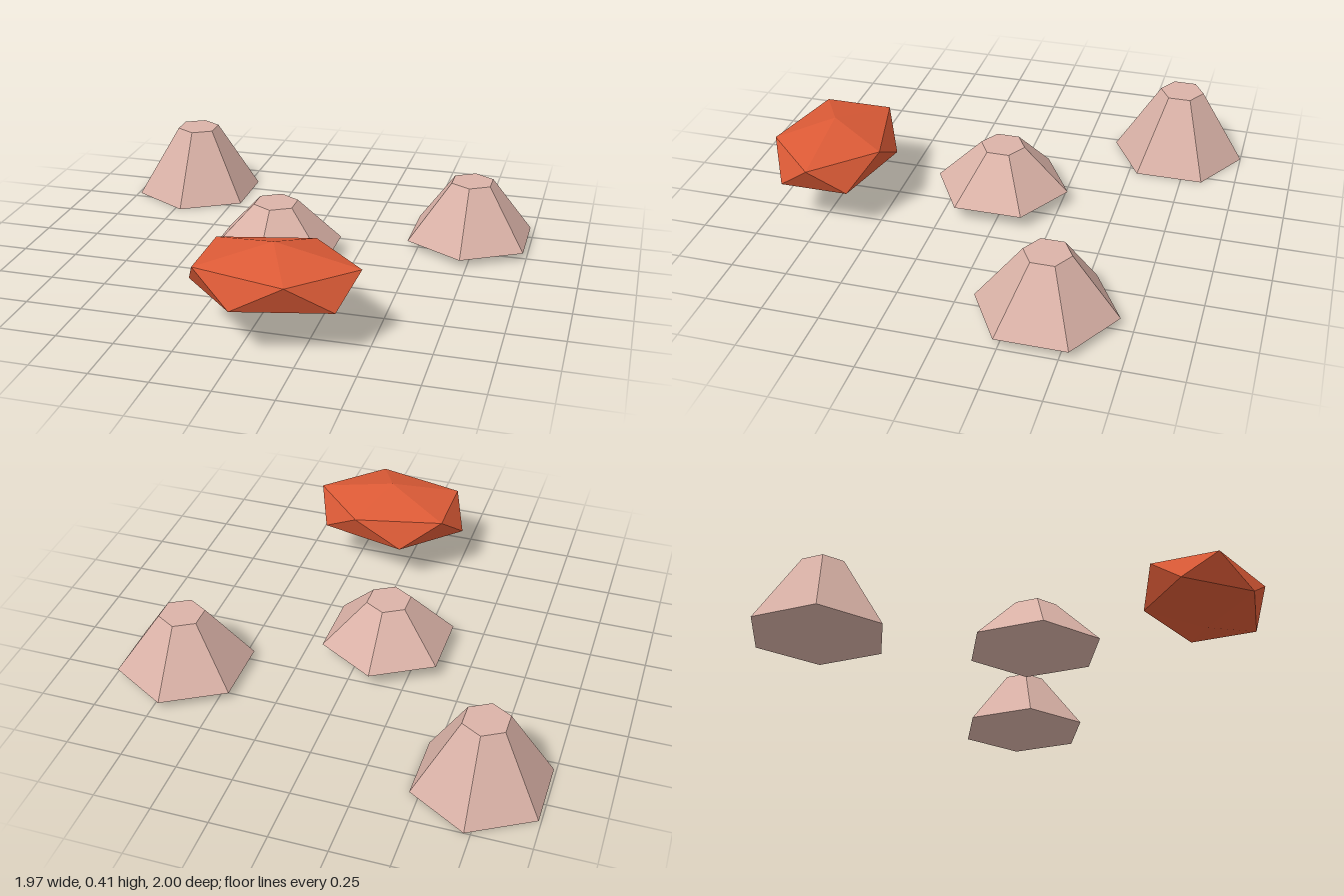
import * as THREE from 'three';

const dustyPink = new THREE.MeshStandardMaterial({ color: 0xdab2a7, flatShading: true });
dustyPink.name = 'dustyPink';
const rustRed = new THREE.MeshStandardMaterial({ color: 0xdb5a36, flatShading: true });
rustRed.name = 'rustRed';

// Six-sided truncated cone standing between two heights
function makeMound(name, x, z, bottom, top) {
  const height = top - bottom;
  const mesh = new THREE.Mesh(new THREE.CylinderGeometry(0.102, 0.307, height, 6), dustyPink);
  mesh.name = name;
  mesh.position.set(x, bottom + height / 2, z);
  return mesh;
}

// Stretched icosahedron with one corner turned to the top
function makeRock() {
  const geometry = new THREE.IcosahedronGeometry(1, 0);
  const golden = (1 + Math.sqrt(5)) / 2;
  geometry.rotateZ(-Math.atan(1 / golden));
  geometry.scale(0.402, 0.141, 0.291);
  const mesh = new THREE.Mesh(geometry, rustRed);
  mesh.name = 'rock';
  mesh.position.set(0.1, 0.271, 0.754);
  return mesh;
}

export function createModel() {
  const group = new THREE.Group();
  group.name = 'moundsAndRock';
  group.add(
    makeMound('tallMound', -0.723, -0.693, 0, 0.332),
    makeMound('middleMound', 0.72, -0.384, 0.034, 0.301),
    makeMound('lowMound', -0.104, 0.027, 0.066, 0.27),
    makeRock()
  );
  return group;
}
